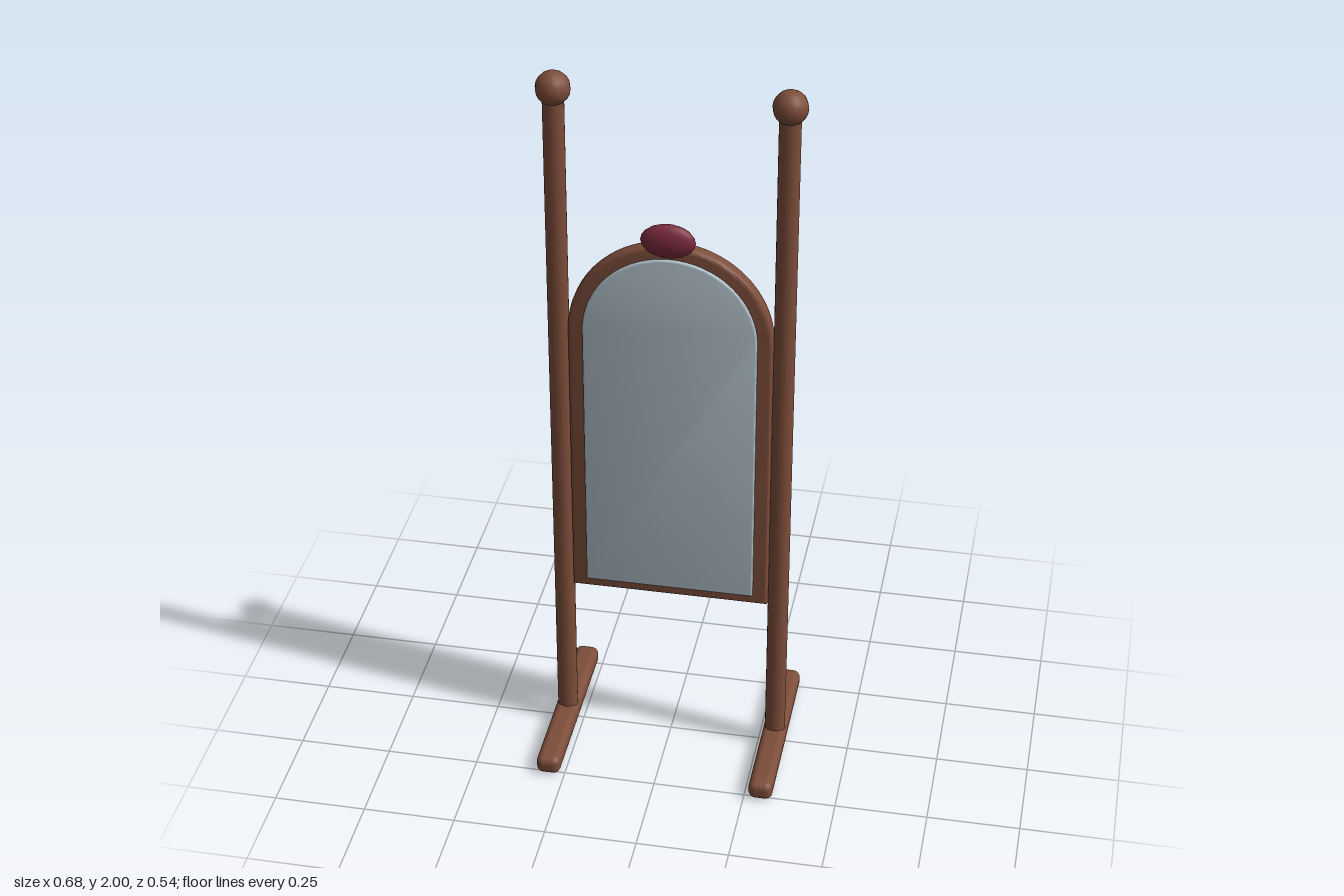
import * as THREE from 'three';
import { RoundedBoxGeometry } from 'three/addons/geometries/RoundedBoxGeometry.js';
import { toCreasedNormals } from 'three/addons/utils/BufferGeometryUtils.js';

const wood = new THREE.MeshStandardMaterial({ name: 'brownWood', color: 0x7d4d3a });
const glass = new THREE.MeshStandardMaterial({ name: 'paleGlass', color: 0xb4c4cd });
const gem = new THREE.MeshStandardMaterial({ name: 'redGem', color: 0x7c2a3e });

// Round-topped slab with softened edges; outer sizes include the bevel
function archSlab(halfWidth, bottom, top, back, front, bevel) {
  const r = halfWidth - bevel;
  const spring = top - halfWidth;
  const shape = new THREE.Shape();
  shape.moveTo(-r, bottom + bevel);
  shape.lineTo(r, bottom + bevel);
  shape.lineTo(r, spring);
  shape.absarc(0, spring, r, 0, Math.PI, false);
  shape.closePath();
  const geo = new THREE.ExtrudeGeometry(shape, {
    depth: front - back - 2 * bevel, bevelEnabled: true, bevelSize: bevel,
    bevelThickness: bevel, bevelSegments: 3, curveSegments: 24,
  });
  geo.translate(0, 0, back + bevel);
  return toCreasedNormals(geo, 0.7);
}

export function createModel() {
  const model = new THREE.Group();
  model.name = 'standingMirror';
  const add = (name, geo, material, x, y, z) => {
    const mesh = new THREE.Mesh(geo, material);
    mesh.name = name;
    mesh.position.set(x, y, z);
    model.add(mesh);
    return mesh;
  };

  // Posts with their feet and ball finials
  const footGeo = new RoundedBoxGeometry(0.066, 0.053, 0.536, 3, 0.02);
  const postGeo = new THREE.CylinderGeometry(0.028, 0.028, 1.9, 16);
  const finialGeo = new THREE.SphereGeometry(0.045, 12, 10);
  for (const [side, x] of [['left', 0.295], ['right', -0.295]]) {
    add(side + 'Foot', footGeo, wood, x, 0.0265, 0);
    add(side + 'Post', postGeo, wood, x, 0.98, 0);
    add(side + 'Finial', finialGeo, wood, x, 1.955, 0);
  }

  // Arched frame panel and the glass set on its front
  add('framePanel', archSlab(0.268, 0.475, 1.55, -0.021, 0.02, 0.01), wood, 0, 0, 0);
  add('mirrorGlass', archSlab(0.228, 0.503, 1.515, 0.01, 0.027, 0.005), glass, 0, 0, 0);

  // Oval jewel at the crown
  const jewel = add('crownJewel', new THREE.SphereGeometry(1, 14, 10), gem, 0, 1.578, 0.039);
  jewel.scale.set(0.071, 0.047, 0.026);

  return model;
}
